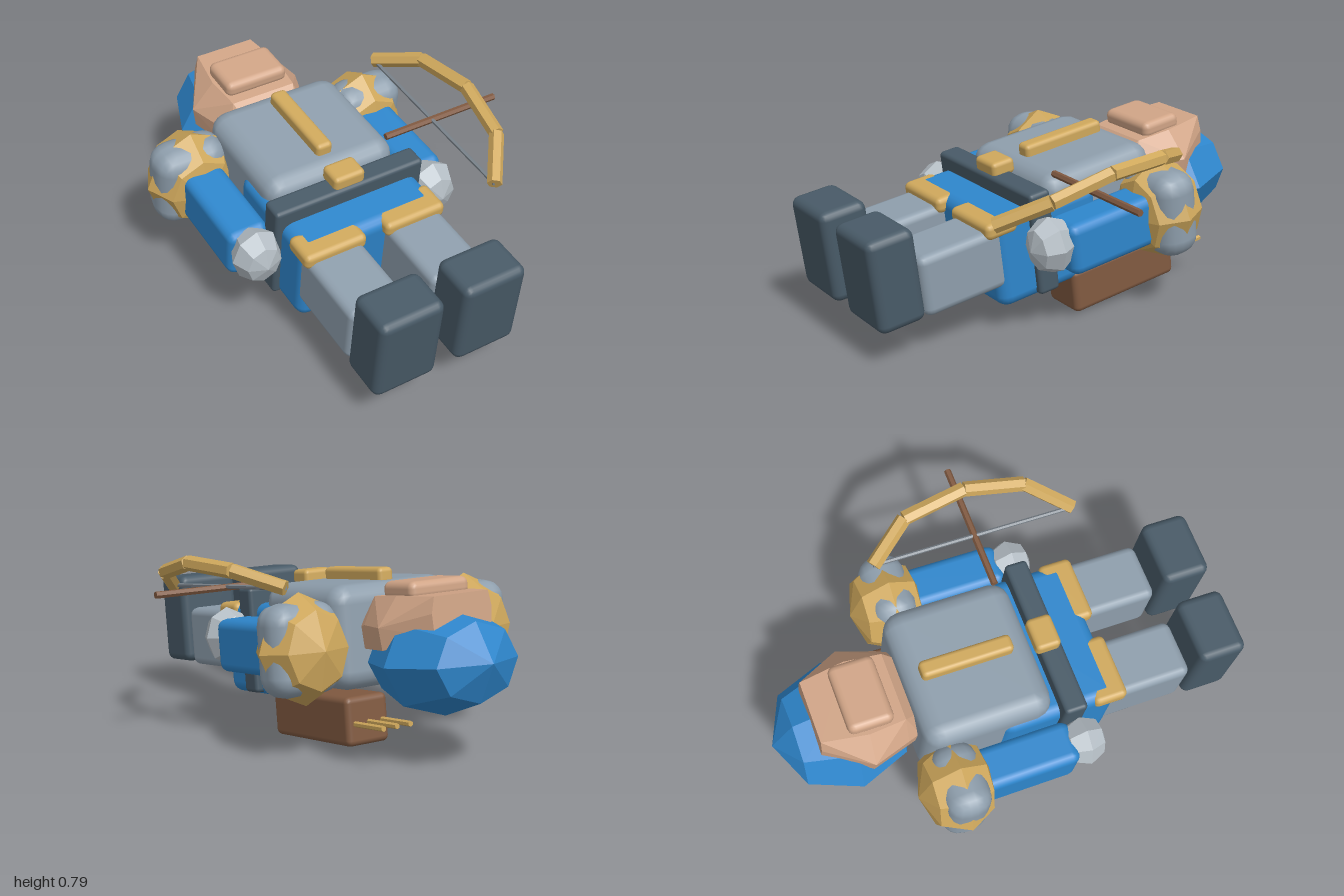
import * as THREE from 'three';
import { RoundedBoxGeometry } from 'three/addons/geometries/RoundedBoxGeometry.js';
import { ConvexGeometry } from 'three/addons/geometries/ConvexGeometry.js';

export function createModel() {
  const mat = (name, color, flatShading = false) => {
    const m = new THREE.MeshStandardMaterial({ color, flatShading });
    m.name = name;
    return m;
  };
  const blue = mat('blue cloth', 0x2e86cc);
  const gold = mat('gold', 0xcfa85c);
  const grey = mat('grey armour', 0x8e9eac);
  const silver = mat('silver', 0xb6bfc6);
  const dark = mat('dark leather', 0x485a67);
  const brown = mat('brown wood', 0x815a41);
  const skin = mat('skin', 0xd0a486);
  const steel = mat('bowstring grey', 0x7a838b);

  const root = new THREE.Group();
  root.name = 'archer';

  // Body is built standing, then laid on its back with a slight tilt
  const body = new THREE.Group();
  body.name = 'body';
  body.position.set(-0.106, 0.4, 0);
  body.rotation.x = -THREE.MathUtils.degToRad(83);
  root.add(body);

  const add = (parent, name, geo, material, x = 0, y = 0, z = 0) => {
    const mesh = new THREE.Mesh(geo, material);
    mesh.name = name;
    mesh.position.set(x, y, z);
    parent.add(mesh);
    return mesh;
  };
  const box = (name, material, [w, h, d], [x, y, z], r = 0.03) =>
    add(body, name, new RoundedBoxGeometry(w, h, d, 2, r), material, x, y, z);
  // Faceted ball with flat normals
  const ball = (name, material, [rx, ry, rz], [x, y, z]) => {
    const geo = new THREE.SphereGeometry(1, 8, 4).scale(rx, ry, rz).toNonIndexed();
    geo.computeVertexNormals();
    return add(body, name, geo, material, x, y, z);
  };
  // Straight rod between two points
  const rod = (parent, name, material, a, b, r, sides = 6) => {
    const dir = b.clone().sub(a);
    let geo = new THREE.CylinderGeometry(r, r, dir.length(), sides).toNonIndexed();
    geo.computeVertexNormals();
    const mesh = add(parent, name, geo, material);
    mesh.position.copy(a).add(b).multiplyScalar(0.5);
    mesh.quaternion.setFromUnitVectors(new THREE.Vector3(0, 1, 0), dir.normalize());
    return mesh;
  };

  // Torso, tunic and belt
  box('torso', grey, [0.615, 0.56, 0.43], [0, 0.158, 0.037], 0.08);
  box('tunic', blue, [0.65, 0.52, 0.4], [0, -0.15, -0.03], 0.05);
  box('belt', dark, [0.705, 0.1, 0.455], [0, -0.19, 0.012], 0.018);
  box('buckle', gold, [0.145, 0.11, 0.07], [0, -0.172, 0.258], 0.02);
  box('chestStrip', gold, [0.075, 0.4, 0.07], [0, 0.17, 0.267], 0.02);

  // Limbs, mirrored
  for (const s of [-1, 1]) {
    const side = s > 0 ? 'left' : 'right';
    box(side + 'Leg', grey, [0.255, 0.46, 0.265], [s * 0.19, -0.525, 0.0], 0.035);
    box(side + 'Boot', dark, [0.288, 0.21, 0.4], [s * 0.19, -0.867, 0.08], 0.035);
    box(side + 'KneePad', gold, [0.287, 0.15, 0.07], [s * 0.19, -0.371, 0.134], 0.025);
    box(side + 'Arm', blue, [0.185, 0.5, 0.225], [s * 0.427, 0.08, 0.01], 0.04);
    ball(side + 'Hand', silver, [0.108, 0.1, 0.125], [s * 0.427, -0.215, 0.04]);
    ball(side + 'Pauldron', gold, [0.203, 0.165, 0.228], [s * 0.427, 0.35, 0.012]);
    box(side + 'ShoulderPlate', grey, [0.325, 0.2, 0.375], [s * 0.442, 0.345, 0.015], 0.085);
  }

  // Head: hood, face and the pad on the front of the face
  ball('hood', blue, [0.29, 0.305, 0.225], [0, 0.695, -0.06]);
  const facePoints = [];
  for (const [y, half, frontHalf, front, sideZ] of [
    [0.425, 0.19, 0.13, 0.155, 0.02],
    [0.48, 0.21, 0.15, 0.2, 0.03],
    [0.64, 0.262, 0.165, 0.205, 0.03],
    [0.835, 0.15, 0.135, 0.205, 0.08]]) {
    for (const s of [-1, 1]) {
      facePoints.push(
        new THREE.Vector3(s * frontHalf, y, front),
        new THREE.Vector3(s * half, y, sideZ + 0.06),
        new THREE.Vector3(s * half * 0.95, y, sideZ - 0.03));
    }
  }
  add(body, 'face', new ConvexGeometry(facePoints), skin);
  box('facePad', skin, [0.296, 0.195, 0.075], [0, 0.622, 0.222], 0.03);

  // Quiver with three arrows
  box('quiver', brown, [0.205, 0.54, 0.2], [0.224, 0.216, -0.288], 0.025);
  for (const dx of [-0.066, 0, 0.066]) {
    rod(body, 'quiverArrow', gold,
      new THREE.Vector3(0.224 + dx, 0.4, -0.296), new THREE.Vector3(0.224 + dx, 0.672, -0.296), 0.012);
  }

  // Bow, string and nocked arrow
  const bow = new THREE.Group();
  bow.name = 'bow';
  root.add(bow);
  const limb = [
    [0.405, 0.597, 0.545], [0.54, 0.692, 0.37], [0.573, 0.765, 0.11],
    [0.535, 0.766, -0.17], [0.405, 0.71, -0.355],
  ].map(p => new THREE.Vector3(...p));
  for (let i = 0; i < limb.length - 1; i++) {
    rod(bow, 'bowLimb', gold, limb[i], limb[i + 1], 0.032, 6);
  }
  rod(bow, 'bowString', steel, limb[0], limb[4], 0.009);
  rod(bow, 'arrow', brown, new THREE.Vector3(0.17, 0.65, 0.095), new THREE.Vector3(0.735, 0.65, 0.095), 0.015);

  return root;
}
